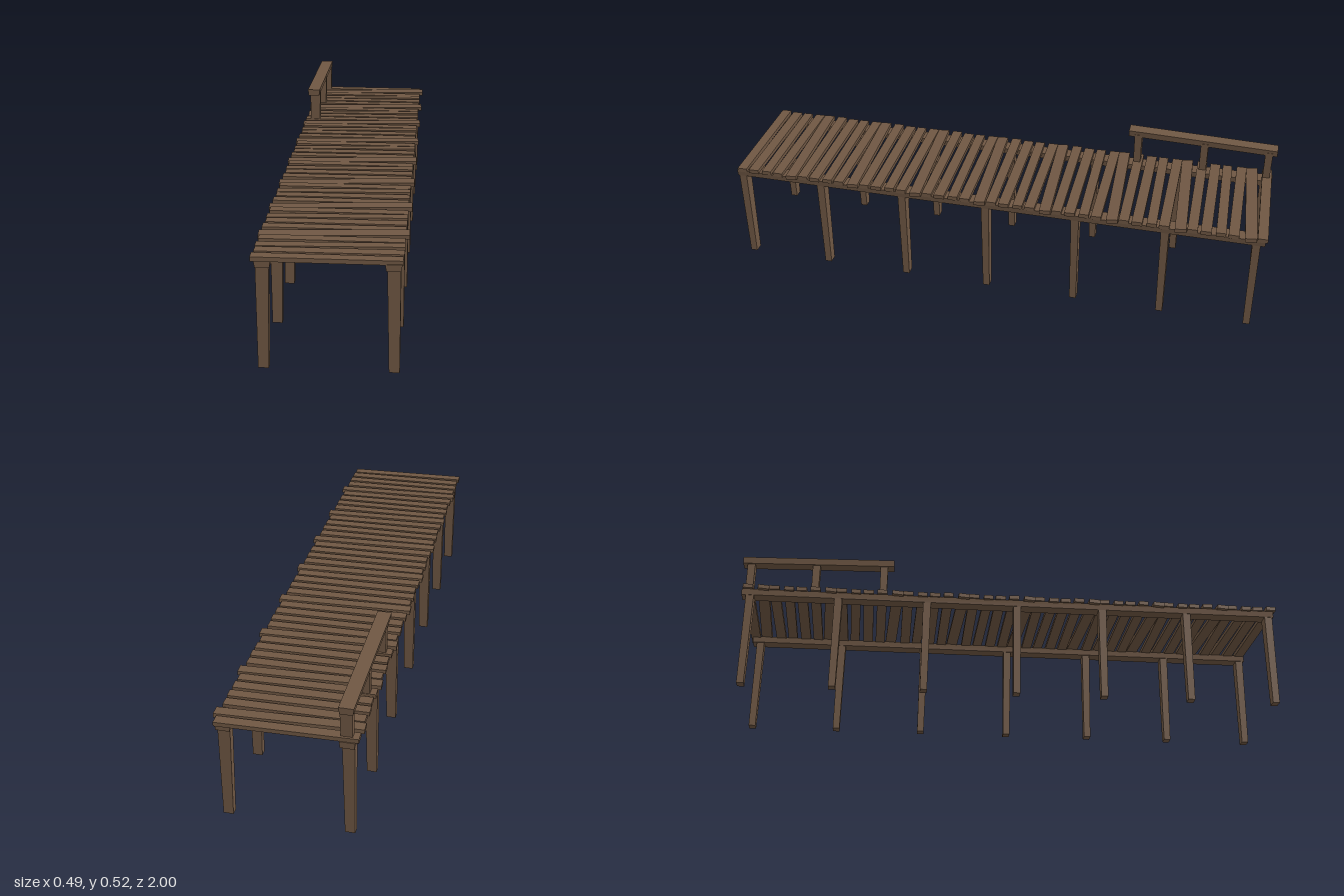
import * as THREE from 'three';

const wood = new THREE.MeshStandardMaterial({ color: 0x6f5743 });
wood.name = 'weathered wood';
wood.flatShading = true;

// Upright timber from y0 to y1, with its own centre and size at each end
function post(name, y0, y1, bottom, top) {
  const geo = new THREE.BoxGeometry(1, 1, 1);
  const p = geo.attributes.position;
  for (let i = 0; i < p.count; i++) {
    const up = p.getY(i) > 0;
    const [x, z, w, d] = up ? top : bottom;
    p.setXYZ(i, x + p.getX(i) * w, up ? y1 : y0, z + p.getZ(i) * d);
  }
  geo.computeVertexNormals();
  const mesh = new THREE.Mesh(geo, wood);
  mesh.name = name;
  return mesh;
}

// Lengthwise timber whose cross-section narrows toward its underside
function beam(name, x, z0, z1, y0, y1, topWidth, bottomWidth, height) {
  const geo = new THREE.BoxGeometry(1, 1, 1);
  const p = geo.attributes.position;
  for (let i = 0; i < p.count; i++) {
    const t = p.getZ(i) + 0.5;
    const w = p.getY(i) > 0 ? topWidth : bottomWidth;
    p.setXYZ(i, x + p.getX(i) * w, y0 + (y1 - y0) * t + p.getY(i) * height, z0 + (z1 - z0) * t);
  }
  geo.computeVertexNormals();
  const mesh = new THREE.Mesh(geo, wood);
  mesh.name = name;
  return mesh;
}

export function createModel() {
  const model = new THREE.Group();
  model.name = 'pier';

  // Deck planks: five slightly crooked boards, repeated along the pier
  const pattern = [
    { len: 0.466, width: 0.036, yaw: 0.025, roll: -0.008, x: -0.004 },
    { len: 0.484, width: 0.041, yaw: 0.06, roll: 0.004, x: 0 },
    { len: 0.464, width: 0.037, yaw: 0.015, roll: -0.006, x: -0.002 },
    { len: 0.468, width: 0.035, yaw: 0.035, roll: 0.005, x: -0.003 },
    { len: 0.464, width: 0.038, yaw: 0.02, roll: -0.003, x: -0.001 },
  ];
  const deck = new THREE.Group();
  deck.name = 'deck';
  for (let i = 0; i < 41; i++) {
    const s = pattern[i % 5];
    const plank = new THREE.Mesh(new THREE.BoxGeometry(s.len, 0.015, s.width), wood);
    plank.name = 'plank';
    plank.position.set(s.x, 0.377, -0.976 + i * 0.0488);
    plank.rotation.set(i % 5 === 1 ? 0.06 : 0, s.yaw, s.roll);
    deck.add(plank);
  }
  model.add(deck);

  // Support legs and lengthwise beams on both sides
  for (const side of [-1, 1]) {
    for (const z of [0.97, 0.655, 0.335, 0.015, -0.32, -0.645, -0.965]) {
      model.add(post('leg', 0, 0.368,
        [side * 0.206, z, 0.034, 0.025],
        [side * 0.202, z + 0.003, 0.042, 0.029]));
    }
    model.add(beam('sideBeam', side * 0.201, -0.992, 0.992, 0.36, 0.36, 0.052, 0.046, 0.023));
  }

  // Short handrail on the right side at the far end
  for (const [z, top] of [[-0.48, 0.503], [-0.73, 0.498], [-0.968, 0.493]]) {
    model.add(post('railPost', 0.365, top, [-0.197, z, 0.038, 0.026], [-0.196, z, 0.041, 0.028]));
  }
  model.add(beam('handrail', -0.2, -0.998, -0.443, 0.492, 0.506, 0.049, 0.043, 0.024));
  return model;
}
